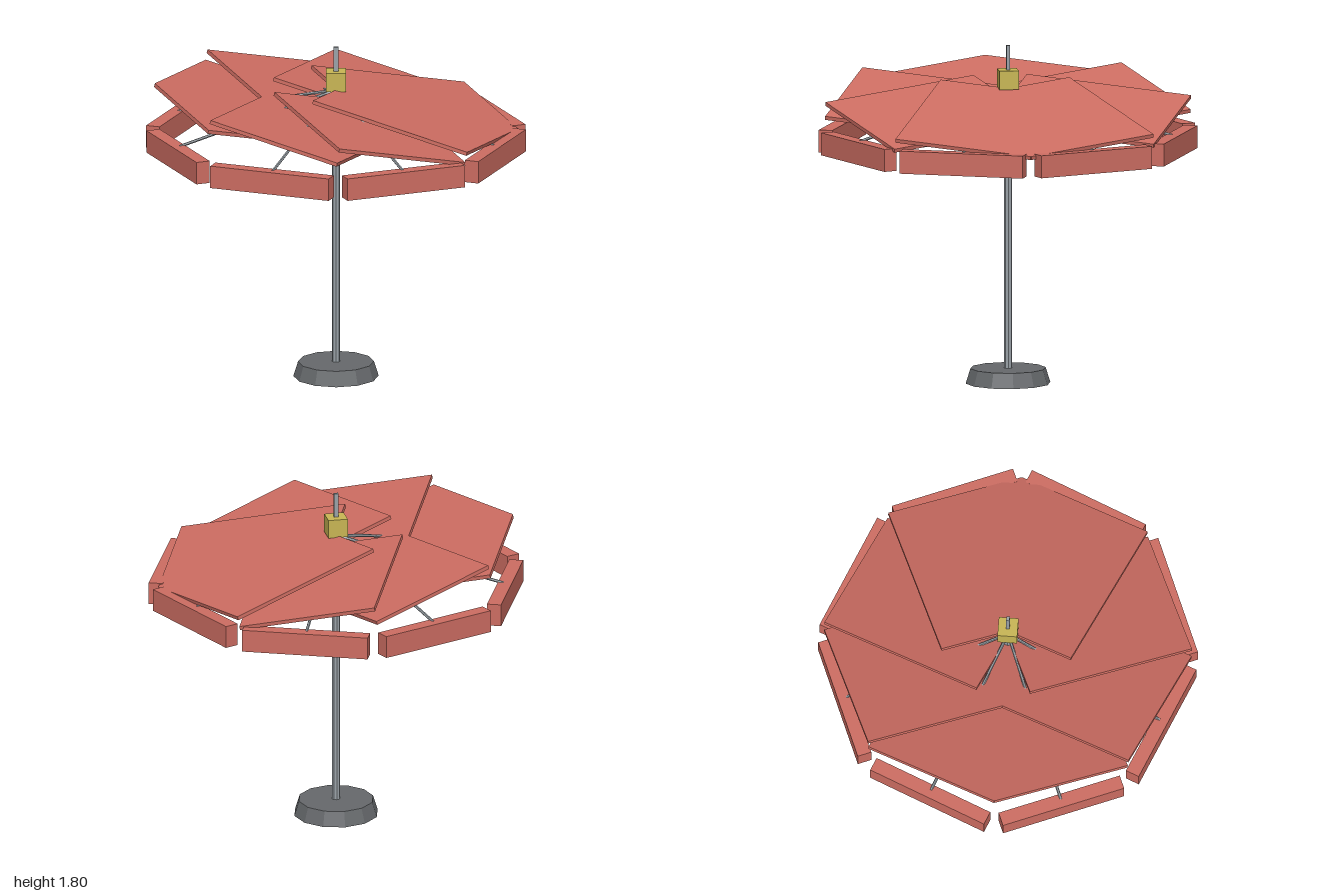
import * as THREE from 'three';

const paint = (name, color) => {
  const m = new THREE.MeshStandardMaterial({ color, flatShading: true });
  m.name = name;
  return m;
};

export function createModel() {
  const red = paint('canopy red', 0xcd6d62);
  const steel = paint('pole grey', 0x9aa2a8);
  const dark = paint('base grey', 0x66696c);
  const gold = paint('hub gold', 0xc8b654);

  const model = new THREE.Group();
  model.name = 'parasol';
  const add = (name, geometry, material, x = 0, y = 0, z = 0) => {
    const mesh = new THREE.Mesh(geometry, material);
    mesh.name = name;
    mesh.position.set(x, y, z);
    model.add(mesh);
    return mesh;
  };

  // Stand, pole, hub and finial
  add('base', new THREE.CylinderGeometry(0.2, 0.225, 0.08, 12), dark, 0, 0.04, 0);
  add('pole', new THREE.CylinderGeometry(0.022, 0.022, 1.52, 8), steel, 0, 0.84, 0);
  add('hub', new THREE.BoxGeometry(0.104, 0.1, 0.104), gold, 0, 1.62, 0);
  add('finial', new THREE.BoxGeometry(0.024, 0.14, 0.018), steel, 0, 1.73, 0);

  // Eight canopy sections: each has a panel, a rib and a hanging valance
  const tilt = 0.23;
  const panelGeo = new THREE.BoxGeometry(0.898, 0.02, 0.74);
  const valanceGeo = new THREE.BoxGeometry(0.075, 0.12, 0.672);
  const ribGeo = new THREE.CylinderGeometry(0.008, 0.008, 0.92, 6).rotateZ(Math.PI / 2 - tilt);
  for (let i = 0; i < 8; i++) {
    const a = (i + 0.5) * Math.PI / 4;
    const at = (r) => [r * Math.cos(a), -r * Math.sin(a)];

    // Panels are turned first, then all tipped the same way towards +x
    const [px, pz] = at(0.449);
    const panel = add('canopyPanel', panelGeo, red, px, 1.468, pz);
    panel.rotation.set(0, a, -tilt, 'ZYX');

    add('rib', ribGeo, steel, px, 1.46, pz).rotation.y = a;

    const [vx, vz] = at(0.9055);
    add('valance', valanceGeo, red, vx, 1.3, vz).rotation.y = a;
  }
  return model;
}
